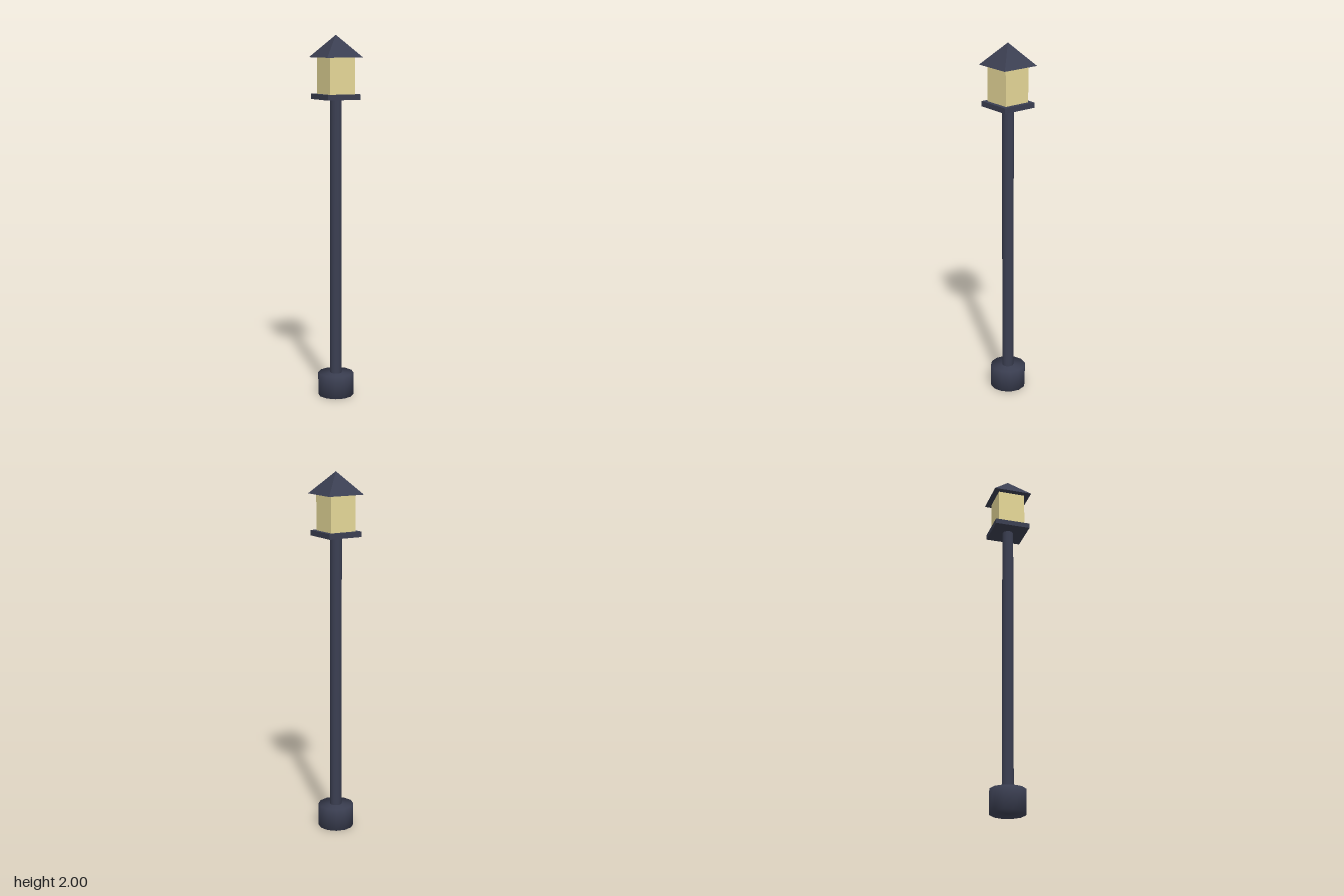
import * as THREE from 'three';
import { mergeVertices } from 'three/addons/utils/BufferGeometryUtils.js';

const iron = new THREE.MeshStandardMaterial({ color: 0x3b3f52 });
const flatIron = new THREE.MeshStandardMaterial({ color: 0x3b3f52, flatShading: true });
const glass = new THREE.MeshStandardMaterial({ color: 0xe6d898 });

// Low-poly cylinder with normals blended across sides and caps
function softCylinder(radius, height, sides) {
  const geometry = new THREE.CylinderGeometry(radius, radius, height, sides);
  geometry.deleteAttribute('normal');
  geometry.deleteAttribute('uv');
  const merged = mergeVertices(geometry);
  merged.computeVertexNormals();
  return merged;
}

export function createModel() {
  const model = new THREE.Group();
  model.name = 'lampPost';

  // Place a part so that it spans bottom..top
  const add = (name, geometry, material, bottom, top) => {
    const mesh = new THREE.Mesh(geometry, material);
    mesh.name = name;
    mesh.position.y = (bottom + top) / 2;
    model.add(mesh);
  };

  // Foot and pole
  add('base', softCylinder(0.099, 0.127, 12), iron, 0, 0.127);
  add('pole', softCylinder(0.032, 1.53, 12), iron, 0.127, 1.657);

  // Lantern: tray, glass box and pyramid roof
  add('lanternTray', new THREE.BoxGeometry(0.198, 0.029, 0.198), flatIron, 1.655, 1.684);
  add('lanternGlass', new THREE.BoxGeometry(0.152, 0.196, 0.152), glass, 1.684, 1.88);
  const roof = new THREE.ConeGeometry(0.108 * Math.SQRT2, 0.12, 4).rotateY(Math.PI / 4);
  add('roof', roof, flatIron, 1.88, 2);

  return model;
}
